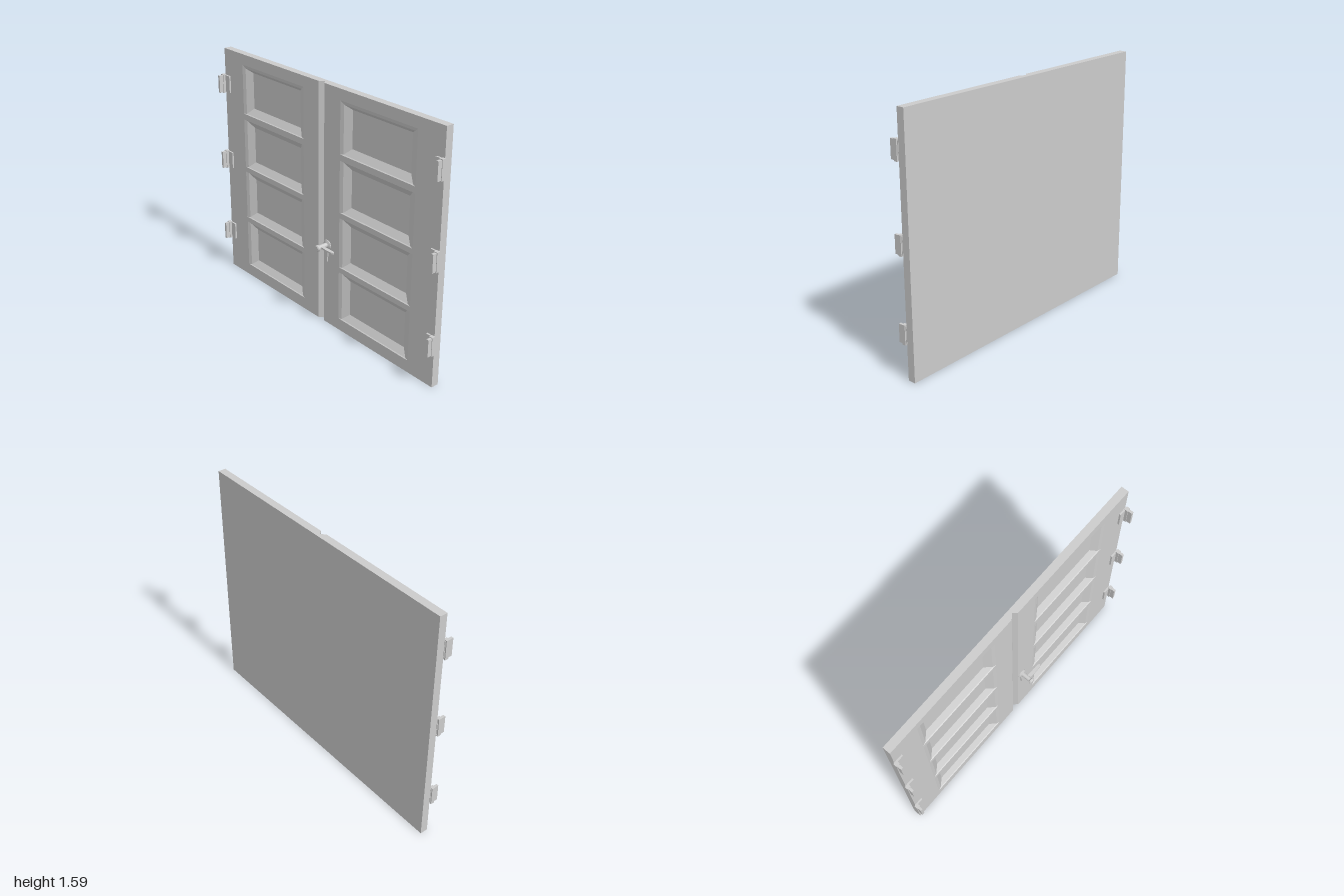
import * as THREE from 'three';

const FRONT = -0.02, BACK = -0.07, FLOOR = -0.055, H = 1.59, W = 0.99;
const mat = new THREE.MeshStandardMaterial({ color: 0xcccccc, side: THREE.DoubleSide });
const flat = new THREE.MeshStandardMaterial({ color: 0xcccccc, side: THREE.DoubleSide, flatShading: true });

function add(parent, name, geo, x = 0, y = 0, z = 0, material = flat) {
  const m = new THREE.Mesh(geo, material);
  m.name = name;
  m.position.set(x, y, z);
  parent.add(m);
  return m;
}

// Flat-shaded surface from a list of four-cornered faces
function quads(list) {
  const pos = [];
  for (const [a, b, c, d] of list) pos.push(...a, ...b, ...c, ...a, ...c, ...d);
  const g = new THREE.BufferGeometry();
  g.setAttribute('position', new THREE.Float32BufferAttribute(pos, 3));
  g.computeVertexNormals();
  return g;
}

// Counter-clockwise rectangle at depth z
const rect = (l, r, b, t, z) => [[l, b, z], [r, b, z], [r, t, z], [l, t, z]];

// Recessed panel: shallow rim, sloped sides, flat floor
function panelGeometry(l, r, b, t, isTop) {
  const rimTop = isTop ? 0.02 : 0.004;
  const loops = [
    rect(l, r, b, t, FRONT),
    rect(l + 0.025, r - 0.025, b + 0.004, t - rimTop, FRONT - 0.006),
    rect(l + 0.07, r - 0.07, b + 0.045, t - 0.047, FLOOR),
  ];
  const faces = [loops[2]];
  for (let k = 0; k < 2; k++)
    for (let i = 0; i < 4; i++) {
      const j = (i + 1) % 4;
      faces.push([loops[k][i], loops[k][j], loops[k + 1][j], loops[k + 1][i]]);
    }
  return quads(faces);
}

export function createModel() {
  const root = new THREE.Group();
  root.name = 'doubleDoor';

  // Slab shell: edges, back and the V groove between the leaves
  const profile = [[-0.99, FRONT], [-0.99, BACK], [0.99, BACK], [0.99, FRONT]];
  const groove = [[0.024, FRONT], [0, -0.045], [-0.03, FRONT]];
  const wall = ([a, b], [c, d]) => [[a, 0, b], [c, 0, d], [c, H, d], [a, H, b]];
  const runs = [profile, groove].flatMap((line) =>
    line.slice(1).map((p, i) => wall(p, line[i])));
  add(root, 'doorShell', quads(runs));
  const outline = [...profile, ...groove];
  const capShape = (s) => new THREE.Shape(outline.map(([x, z]) => new THREE.Vector2(x, s * z)));
  add(root, 'topEdge', new THREE.ShapeGeometry(capShape(-1)).rotateX(-Math.PI / 2), 0, H, 0);
  add(root, 'bottomEdge', new THREE.ShapeGeometry(capShape(1)).rotateX(Math.PI / 2));

  // Two leaves, each with four recessed panels
  const rows = [[1.19, 1.52], [0.815, 1.15], [0.445, 0.78], [0.08, 0.41]];
  const leaves = [
    { name: 'rightLeaf', x0: -W, x1: -0.03, l: -0.793, r: -0.171 },
    { name: 'leftLeaf', x0: 0.024, x1: W, l: 0.167, r: 0.789 },
  ];
  for (const { name, x0, x1, l, r } of leaves) {
    const leaf = new THREE.Group();
    leaf.name = name;
    root.add(leaf);
    const points = (a, b, c, d) => rect(a, b, c, d, 0).map(([x, y]) => new THREE.Vector2(x, y));
    const face = new THREE.Shape(points(x0, x1, 0, H));
    rows.forEach(([b, t], i) => {
      face.holes.push(new THREE.Path(points(l, r, b, t).reverse()));
      add(leaf, 'recessedPanel', panelGeometry(l, r, b, t, i === 0));
    });
    add(leaf, 'leafFace', new THREE.ShapeGeometry(face), 0, 0, FRONT);
  }

  // Three L-shaped hinges on each outer edge
  for (const s of [-1, 1])
    for (const y of [0.285, 0.82, 1.355]) {
      const hinge = new THREE.Group();
      hinge.name = 'hinge';
      hinge.position.y = y;
      root.add(hinge);
      add(hinge, 'hingePlate', new THREE.BoxGeometry(0.06, 0.113, 0.012), s * 0.963, 0, -0.015);
      add(hinge, 'hingeKnuckle', new THREE.BoxGeometry(0.025, 0.124, 0.024), s * 0.9875, 0, -0.004);
      add(hinge, 'hingeFlange', new THREE.BoxGeometry(0.016, 0.115, 0.035), s * 0.988, 0, 0.0175);
    }

  // Handle: turned post with rose and end cap
  const handle = new THREE.Group();
  handle.name = 'handle';
  handle.position.set(0.059, 0.56, 0);
  root.add(handle);
  const turned = [[0, -0.02], [0.032, -0.02], [0.032, -0.015], [0.015, -0.008], [0.014, 0.05],
    [0.021, 0.056], [0.021, 0.064], [0.014, 0.07], [0, 0.07]];
  const post = new THREE.LatheGeometry(turned.map(([r, z]) => new THREE.Vector2(r, z)), 24);
  add(handle, 'post', post.rotateX(Math.PI / 2));

  // Thin tapered lever with a rounded tip
  const blade = new THREE.Shape();
  blade.moveTo(0, -0.009);
  blade.lineTo(0.05, -0.014);
  blade.lineTo(0.105, -0.012);
  blade.quadraticCurveTo(0.135, 0, 0.105, 0.009);
  blade.lineTo(0, 0.011);
  const lever = new THREE.ExtrudeGeometry(blade, { depth: 0.01, bevelEnabled: false });
  add(handle, 'lever', lever.rotateX(-Math.PI / 2), 0, -0.005, 0.03);

  // Tapered tail plate below the rose
  const tail = new THREE.Shape([[-0.016, -0.02], [-0.012, -0.115], [0.005, -0.115], [0.01, -0.02]]
    .map(([x, y]) => new THREE.Vector2(x, y)));
  add(handle, 'tailPlate', new THREE.ExtrudeGeometry(tail, { depth: 0.008, bevelEnabled: false }),
    0, 0, FRONT, mat);
  return root;
}
